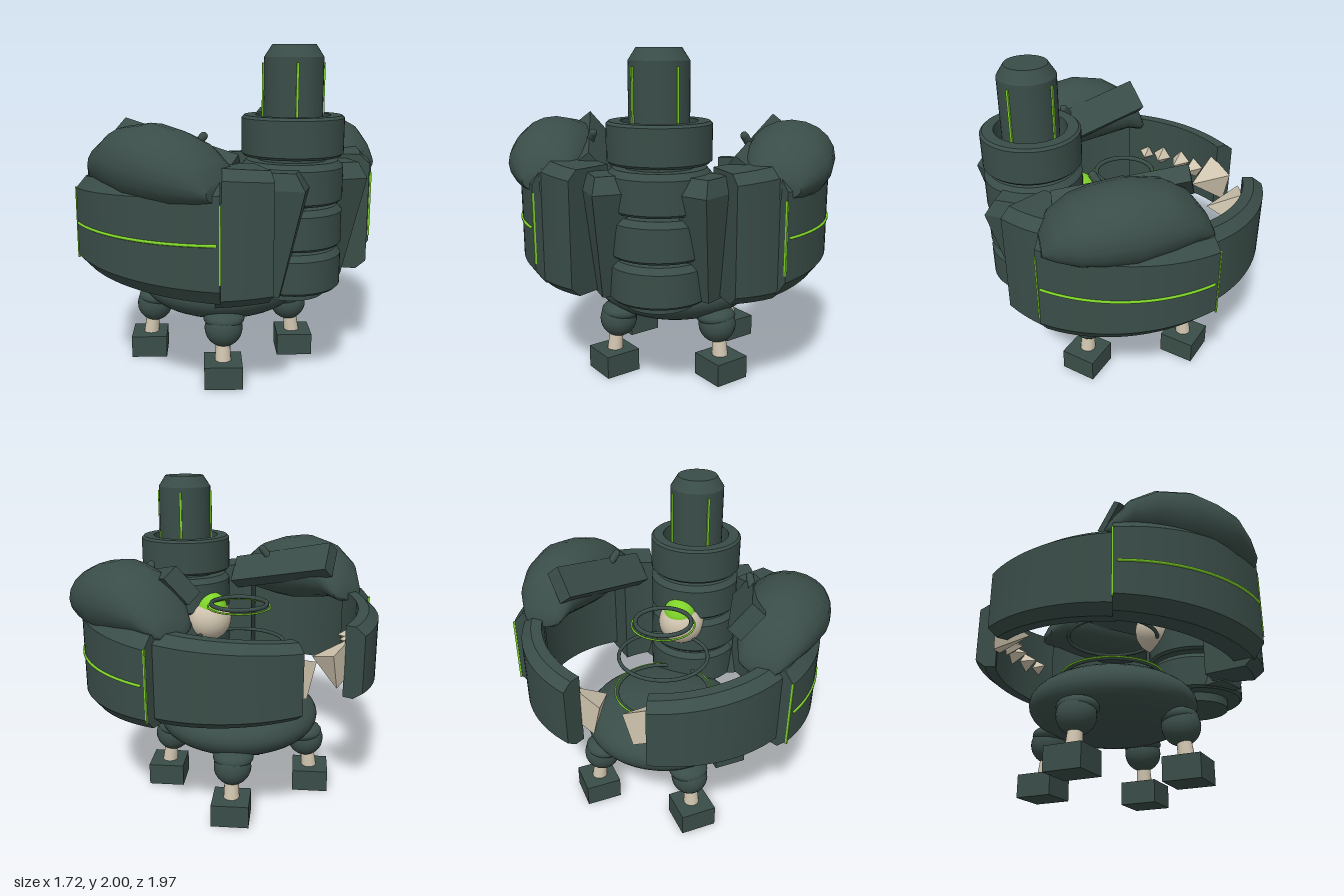
import * as THREE from 'three';
import { toCreasedNormals } from 'three/addons/utils/BufferGeometryUtils.js';

const mat = (name, color) => {
  const m = new THREE.MeshStandardMaterial({ color });
  m.name = name;
  return m;
};
const V = (x, y, z) => new THREE.Vector3(x, y, z);

// Skin a list of closed cross-sections, cap both ends and face everything outward
function loft(rings, crease = 0.6) {
  const n = rings[0].length, pts = rings.flat(), idx = [];
  for (let i = 0; i < rings.length - 1; i++) for (let j = 0; j < n; j++) {
    const a = i * n + j, b = i * n + (j + 1) % n;
    idx.push(a, b, a + n, b, b + n, a + n);
  }
  const e = (rings.length - 1) * n;
  for (let j = 1; j < n - 1; j++) idx.push(0, j + 1, j, e, e + j, e + j + 1);
  let vol = 0;
  for (let i = 0; i < idx.length; i += 3)
    vol += pts[idx[i]].dot(V(0, 0, 0).crossVectors(pts[idx[i + 1]], pts[idx[i + 2]]));
  if (vol < 0) idx.reverse();
  const g = new THREE.BufferGeometry().setFromPoints(pts);
  g.setIndex(idx);
  return toCreasedNormals(g, crease);
}

export function createModel() {
  const root = new THREE.Group();
  root.name = 'walker';
  const dark = mat('dark green armour', 0x3a4d48);
  const bone = mat('bone', 0xcfc4ae);
  const glow = mat('glowing green', 0x7ed32a);

  const add = (name, geo, m, x = 0, y = 0, z = 0) => {
    const mesh = new THREE.Mesh(geo, m);
    mesh.name = name;
    mesh.position.set(x, y, z);
    root.add(mesh);
    return mesh;
  };
  const lathe = (pts, seg = 40) =>
    toCreasedNormals(new THREE.LatheGeometry(pts.map(p => new THREE.Vector2(...p)), seg), 0.5);
  const polar = (r, deg, y, s) => {
    const t = THREE.MathUtils.degToRad(deg);
    return V(r * Math.cos(t), y, s * r * Math.sin(t));
  };

  // Body
  add('body', new THREE.SphereGeometry(1, 40, 24), dark, -0.02, 0.51, 0).scale.set(0.515, 0.21, 0.515);

  // Legs with feet turned outward
  for (const sx of [-1, 1]) for (const sz of [-1, 1]) {
    const x = -0.025 + sx * 0.335;
    add('foot', new THREE.BoxGeometry(0.228, 0.14, 0.228), dark, x, 0.07, sz * 0.34).rotation.y = Math.PI / 4;
    const ankle = add('ankle', new THREE.CylinderGeometry(0.042, 0.05, 0.14, 16), bone, x - sx * 0.01, 0.19, sz * 0.33);
    ankle.rotation.set(-sz * 0.08, 0, sx * 0.08);
    add('knee', new THREE.SphereGeometry(0.115, 24, 16), dark, x - sx * 0.022, 0.335, sz * 0.312);
    add('hip', new THREE.SphereGeometry(1, 20, 12), dark, x - sx * 0.035, 0.39, sz * 0.295).scale.set(0.125, 0.06, 0.125);
  }

  // Tower: core, stacked drums, hollow collar and turret
  const tx = 0.54;
  add('towerCore', new THREE.CylinderGeometry(0.2, 0.2, 0.9, 32), dark, tx, 1.005, 0);
  for (const y of [0.61, 0.865, 1.12])
    add('towerDrum', lathe([[0, 0], [0.28, 0], [0.295, 0.015], [0.295, 0.2], [0.265, 0.235], [0, 0.235]]), dark, tx, y, 0);
  add('towerCollar', lathe([[0, 0], [0.28, 0], [0.295, 0.015], [0.295, 0.215], [0.28, 0.23],
    [0.215, 0.23], [0.215, 0.1], [0, 0.1]]), dark, tx, 1.38, 0);
  add('turret', lathe([[0, 0], [0.17, 0], [0.17, 0.47], [0.125, 0.54], [0, 0.54]]), dark, tx, 1.46, 0);
  for (let i = 0; i < 4; i++) {
    const a = Math.PI / 4 + i * Math.PI / 2;
    add('turretStripe', new THREE.BoxGeometry(0.014, 0.4, 0.014), glow,
      tx + 0.172 * Math.cos(a), 1.7, 0.172 * Math.sin(a)).rotation.y = -a;
  }

  // Eye on the inner side of the tower
  add('eyeSocket', new THREE.SphereGeometry(0.15, 28, 18), bone, 0.29, 1.08, 0);
  add('eye', new THREE.SphereGeometry(0.11, 28, 18), glow, 0.27, 1.15, 0);

  // Floating hoops
  const hoop = (name, r, tube, m, y) =>
    add(name, new THREE.TorusGeometry(r, tube, 8, 64), m, -0.025, y, 0).rotation.x = Math.PI / 2;
  hoop('upperHoop', 0.175, 0.014, dark, 1.24);
  hoop('upperHoopGlow', 0.197, 0.006, glow, 1.22);
  hoop('lowerHoop', 0.285, 0.012, dark, 0.99);
  hoop('bodyGlowRing', 0.318, 0.006, glow, 0.72);
  hoop('bodyRing', 0.305, 0.012, dark, 0.715);

  // Curved bevelled armour running from angle a0 to a1
  function shell(name, s, a0, a1, n, ro, ri, h0, h1, face) {
    const rings = [];
    for (let i = 0; i <= n; i++) {
      const t = i / n, a = a0 + (a1 - a0) * t, h = h0 + (h1 - h0) * t, f = h * face, b = 0.06;
      rings.push([[ro, -f], [ro, f], [ro - b, h], [ri, h], [ri, -h], [ro - b, -h]]
        .map(([r, y]) => polar(r, a, 0.995 + y, s)));
    }
    return add(name, loft(rings), dark);
  }

  for (const s of [-1, 1]) {
    shell('jaw', s, 109, 164, 16, 0.885, 0.76, 0.265, 0.22, 0.8);
    shell('sideArmour', s, 48, 110, 18, 0.957, 0.78, 0.34, 0.265, 0.75);
    shell('rearArmour', s, 30, 50, 4, 0.905, 0.6, 0.36, 0.38, 0.85);

    // Glowing seams
    const arc = [];
    for (let a = 49; a <= 108.5; a += 3.5) arc.push(polar(0.958, a, 0.99, s));
    add('sideStripe', new THREE.TubeGeometry(new THREE.CatmullRomCurve3(arc), 40, 0.009, 6), glow);
    for (const a of [48, 110]) {
      const p = polar(0.955, a, 0.99, s);
      add('seamStripe', new THREE.BoxGeometry(0.012, 0.42, 0.009), glow, p.x, p.y, p.z).rotation.y =
        -s * THREE.MathUtils.degToRad(a);
    }

    // Egg-shaped pod: [x, bottom, top, inner z, outer z]
    const pod = [[-0.325, 1.21, 1.27, 0.62, 0.80], [-0.3, 1.2, 1.33, 0.57, 0.83], [-0.2, 1.21, 1.47, 0.53, 0.905],
      [-0.06, 1.18, 1.555, 0.49, 0.955], [0.14, 1.14, 1.585, 0.46, 0.985], [0.3, 1.14, 1.555, 0.45, 0.965],
      [0.43, 1.15, 1.51, 0.46, 0.93], [0.54, 1.17, 1.42, 0.49, 0.85], [0.61, 1.2, 1.32, 0.57, 0.78]];
    add('pod', loft(pod.map(([x, y0, y1, z0, z1]) => {
      const ring = [];
      for (let j = 0; j < 20; j++) {
        const a = j / 20 * Math.PI * 2;
        ring.push(V(x, (y0 + y1) / 2 + (y1 - y0) / 2 * Math.sin(a), s * ((z0 + z1) / 2 + (z1 - z0) / 2 * Math.cos(a))));
      }
      return ring;
    }), 0.7), dark);

    // Slanted plank and lever on the inner face of the pod
    const A = V(0.47, 1.31, s * 0.4), B = V(-0.25, 1.48, s * 0.59);
    const along = B.clone().sub(A).normalize();
    const normal = V(0, 0.6, -0.8 * s);
    normal.addScaledVector(along, -normal.dot(along)).normalize();
    const across = normal.clone().cross(along);
    const mid = A.clone().add(B).multiplyScalar(0.5);
    add('podPlank', new THREE.BoxGeometry(A.distanceTo(B), 0.2, 0.1), dark, mid.x, mid.y, mid.z)
      .quaternion.setFromRotationMatrix(new THREE.Matrix4().makeBasis(along, across, normal));
    const lever = add('lever', new THREE.CapsuleGeometry(0.024, 0.08, 4, 12), dark, 0.25, 1.47, s * 0.47);
    lever.rotation.set(-s * 0.5, 0, -0.5);

    // Leaning flap between rear armour and tower
    const flap = [[0.62, 0.7], [1.24, 0.865], [1.33, 0.8]].map(([y, x]) =>
      [[x, 0.3], [x - 0.09, 0.14], [x - 0.26, 0.23], [x - 0.17, 0.4]].map(([px, pz]) => V(px, y, s * pz)));
    add('towerFlap', loft(flap, 0.2), dark);

    // Teeth pointing inward along the jaw: [angle, radius, half base, length]
    for (const [a, r, w, l] of [[165, 0.66, 0.155, 0.21], [150, 0.68, 0.07, 0.11], [139.5, 0.705, 0.07, 0.11],
      [128, 0.715, 0.07, 0.1], [119, 0.73, 0.065, 0.1]]) {
      const g = new THREE.ConeGeometry(w, l, 4).toNonIndexed();
      g.computeVertexNormals();
      g.rotateY(Math.PI / 4);
      const p = polar(r, a, 0.99, s);
      add('tooth', g, bone, p.x, p.y, p.z).quaternion.setFromUnitVectors(V(0, 1, 0), V(-p.x, 0, -p.z).normalize());
    }
  }
  return root;
}
